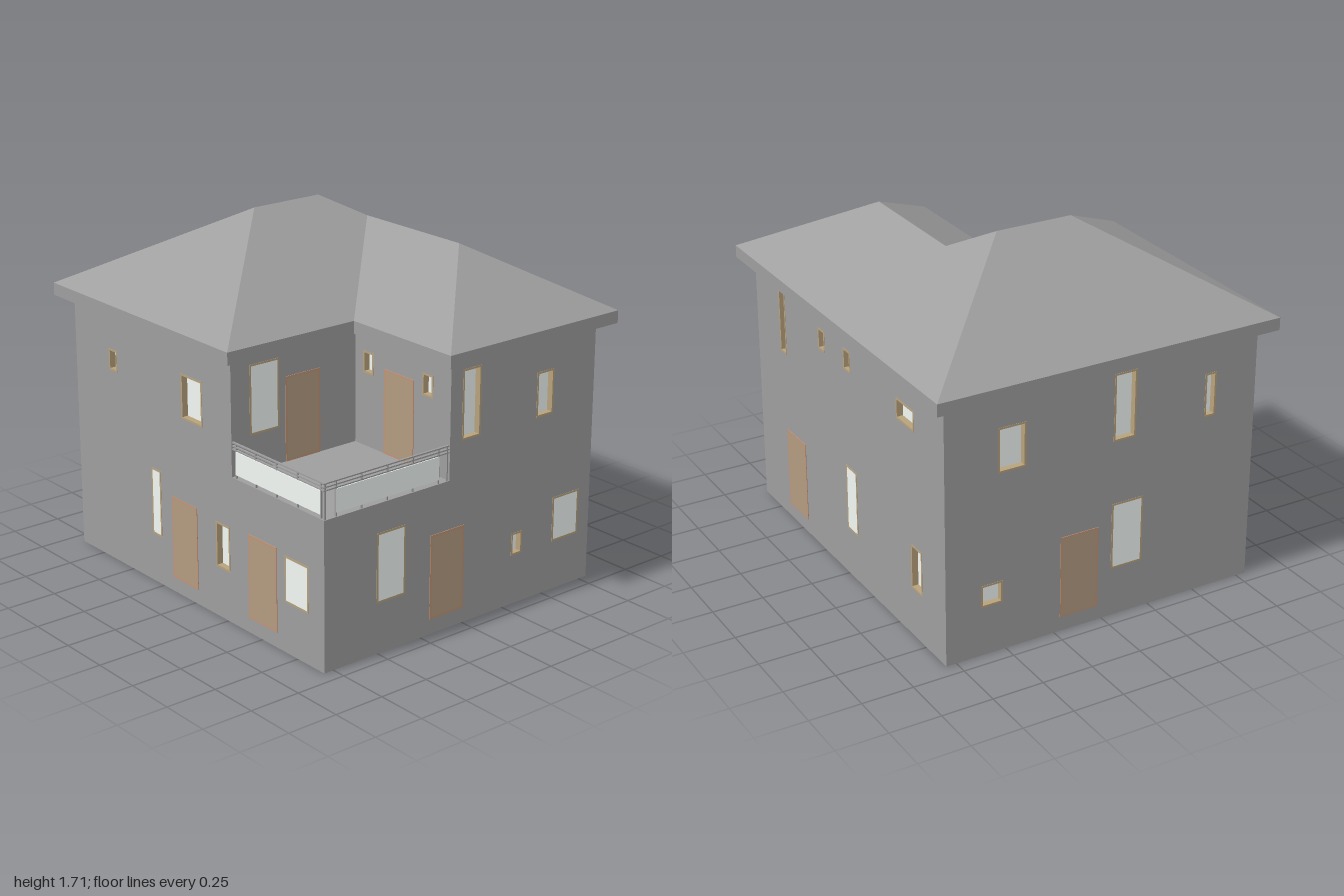
import * as THREE from 'three';

const mat = (color, extra = {}) => new THREE.MeshStandardMaterial({ color, ...extra });
const GREY = mat(0x9e9e9e, { flatShading: true });
const GLASS = mat(0xf2f8f5);
const WOOD = mat(0xb39c81);
const DOOR_TRIM = mat(0xc09478);
const WINDOW_TRIM = mat(0xb8a27c);

const T = 0.03;                       // wall thickness
const X = 0.93, Z = 0.8;              // outer half sizes
const FLOOR = 0.71, TOP = 1.26;       // balcony floor, wall top
const NX = 0.29, NZ = 0.09;           // balcony notch corner

function add(parent, name, geo, material) {
  const m = new THREE.Mesh(geo, material);
  m.name = name;
  parent.add(m);
  return m;
}

// Box given by its minimum and maximum corners
function block(parent, name, [x0, y0, z0], [x1, y1, z1], material = GREY) {
  const m = add(parent, name, new THREE.BoxGeometry(x1 - x0, y1 - y0, z1 - z0), material);
  m.position.set((x0 + x1) / 2, (y0 + y1) / 2, (z0 + z1) / 2);
}

const rect = (a, b, c, d) => [[a, c], [b, c], [b, d], [a, d]];
const toPoints = (list) => list.map(([x, y]) => new THREE.Vector2(x, y));
const extrude = (shape, depth) => new THREE.ExtrudeGeometry(shape, { depth, bevelEnabled: false });

// Rectangular border lying in the wall plane, from z0 to z1
function border(parent, name, [a, b, c, d], w, z0, z1, material) {
  const s = new THREE.Shape(toPoints(rect(a, b, c, d)));
  s.holes.push(new THREE.Path(toPoints(rect(a + w, b - w, c + w, d - w))));
  add(parent, name, extrude(s, z1 - z0), material).position.z = z0;
}

// Wall panel; u runs along a world axis, sign flips it to the wall's own right.
// Openings are [u0, u1, y0, y1, flush]; the outer face is local z = 0.
function wall(parent, name, { turn, pos, sign, outline, windows = [], doors = [] }) {
  const g = new THREE.Group();
  g.name = name;
  g.rotation.y = turn;
  g.position.set(...pos);
  parent.add(g);
  const local = ([a, b, c, d]) => [Math.min(a * sign, b * sign), Math.max(a * sign, b * sign), c, d];
  const shape = new THREE.Shape(toPoints(outline.map(([u, y]) => [u * sign, y])));
  for (const w of windows) {
    const r = local(w), [a, b, c, d] = r, flush = w[4];
    if (!flush) shape.holes.push(new THREE.Path(toPoints(rect(...r))));
    const back = flush ? 0 : -T;
    border(g, 'windowFrame', r, 0.009, back, 0.0015, WINDOW_TRIM);
    block(g, 'windowGlass', [a + 0.009, c + 0.009, back], [b - 0.009, d - 0.009, back + 0.0015], GLASS);
  }
  for (const door of doors) {
    const r = local(door), [a, b, c, d] = r;
    border(g, 'doorFrame', r, 0.01, 0, 0.003, DOOR_TRIM);
    block(g, 'door', [a + 0.01, c + 0.01, 0], [b - 0.01, d - 0.01, 0.003], WOOD);
  }
  add(g, 'wallPanel', extrude(shape, T), GREY).position.z = -T;
}

function buildWalls(house) {
  const zi = Z - T, H = Math.PI / 2;
  // Solid core behind the panels
  block(house, 'groundCore', [-X + T, 0, -zi], [X - T, FLOOR, zi]);
  block(house, 'upperCoreMain', [-X + T, FLOOR, -zi], [NX - T, TOP, zi]);
  block(house, 'upperCoreSide', [NX - T, FLOOR, -zi], [X - T, TOP, NZ - T]);

  wall(house, 'frontWall', {
    turn: 0, pos: [0, 0, Z], sign: 1,
    outline: [[-X, 0], [X, 0], [X, FLOOR], [NX, FLOOR], [NX, TOP], [-X, TOP]],
    windows: [[-0.652, -0.588, 0.965, 1.07], [-0.08, 0.077, 0.882, 1.097], [-0.33, -0.257, 0.242, 0.572, true],
      [0.165, 0.268, 0.243, 0.463], [0.662, 0.825, 0.243, 0.463, true]],
    doors: [[-0.17, 0.023, 0.073, 0.478], [0.406, 0.606, 0.073, 0.478]],
  });
  wall(house, 'rightHandWall', {
    turn: H, pos: [X, 0, 0], sign: -1,
    outline: [[-zi, 0], [zi, 0], [zi, FLOOR], [NZ, FLOOR], [NZ, TOP], [-zi, TOP]],
    windows: [[0.343, 0.507, 0.242, 0.572, true], [-0.367, -0.3, 0.243, 0.352], [-0.727, -0.56, 0.243, 0.463, true],
      [-0.09, 0.02, 0.882, 1.21], [-0.54, -0.435, 0.882, 1.097]],
    doors: [[-0.003, 0.197, 0.073, 0.478]],
  });
  wall(house, 'backWall', {
    turn: Math.PI, pos: [0, 0, -Z], sign: -1, outline: rect(-X, X, 0, TOP),
    windows: [[0.61, 0.675, 0.882, 1.21], [0.19, 0.255, 1.06, 1.165], [-0.067, 0, 1.06, 1.165],
      [-0.667, -0.505, 1.03, 1.13], [-0.1, 0.005, 0.242, 0.572, true], [-0.72, -0.62, 0.243, 0.463]],
    doors: [[0.44, 0.64, 0.073, 0.478]],
  });
  wall(house, 'leftHandWall', {
    turn: -H, pos: [-X, 0, 0], sign: 1, outline: rect(-zi, zi, 0, TOP),
    windows: [[-0.54, -0.4, 0.882, 1.097], [0.045, 0.16, 0.882, 1.21], [0.525, 0.585, 0.882, 1.097],
      [-0.625, -0.515, 0.243, 0.352], [0.045, 0.21, 0.242, 0.572, true]],
    doors: [[-0.22, -0.025, 0.073, 0.478]],
  });
  // Two walls facing the balcony
  wall(house, 'balconyBackWall', {
    turn: 0, pos: [0, 0, NZ], sign: 1, outline: rect(NX - T, X - T, FLOOR, TOP),
    windows: [[0.345, 0.415, 1.06, 1.165], [0.745, 0.815, 1.06, 1.165]],
    doors: [[0.49, 0.69, FLOOR, 1.113]],
  });
  wall(house, 'balconySideWall', {
    turn: H, pos: [NX, 0, 0], sign: -1, outline: rect(NZ, zi, FLOOR, TOP),
    windows: [[0.533, 0.697, 0.882, 1.21, true]],
    doors: [[0.3, 0.497, FLOOR, 1.113]],
  });
}

// Railing along local x from 0 to length, outer side +z
function railing(parent, name, length, glassStart, glassEnd, posts) {
  const g = new THREE.Group();
  g.name = name;
  for (const y of [0.842, 0.857, 0.873])
    block(g, 'rail', [0, y - 0.003, -0.005], [length, y + 0.003, 0.005]);
  for (const x of posts)
    block(g, 'post', [x - 0.003, FLOOR, -0.004], [x + 0.003, 0.873, 0.004]);
  block(g, 'glassPanel', [glassStart, 0.728, -0.002], [glassEnd, 0.837, 0.006], GLASS);
  parent.add(g);
  return g;
}

function buildRoof(house) {
  // L-shaped eaves, extruded upwards
  const D = 0.867;
  const plan = [[-1, D], [0.36, D], [0.36, 0.16], [1, 0.16], [1, -D], [-1, -D]];
  const eaves = extrude(new THREE.Shape(toPoints(plan.map(([x, z]) => [x, -z]))), 0.06);
  eaves.rotateX(-Math.PI / 2);
  add(house, 'eaves', eaves, GREY).position.y = TOP;

  // Hip and valley slopes
  const e = TOP + 0.06;
  const v = {
    A: [-1, e, -D], B: [1, e, -D], C: [1, e, 0.16], D: [0.36, e, 0.16], E: [0.36, e, D], F: [-1, e, D],
    P: [-0.32, 1.71, 0.19], Q: [-0.32, 1.71, -0.19], R: [-0.155, 1.615, -0.355], S: [0.485, 1.615, -0.355],
  };
  const faces = ['FPA', 'PQA', 'ABS', 'ASR', 'ARQ', 'BCS', 'CDR', 'CRS', 'DEP', 'DPQ', 'DQR', 'EFP'];
  const pos = [];
  for (const f of faces) {
    const [a, b, c] = [...f].map((k) => new THREE.Vector3(...v[k]));
    const up = b.clone().sub(a).cross(c.clone().sub(a)).y > 0;
    for (const p of up ? [a, b, c] : [a, c, b]) pos.push(p.x, p.y, p.z);
  }
  const geo = new THREE.BufferGeometry();
  geo.setAttribute('position', new THREE.Float32BufferAttribute(pos, 3));
  geo.computeVertexNormals();
  add(house, 'roofSlopes', geo, GREY);
}

export function createModel() {
  const house = new THREE.Group();
  house.name = 'house';
  buildWalls(house);
  buildRoof(house);

  // Balcony railings: front edge, then the side edge
  const front = railing(house, 'balconyFrontRailing', X - NX, 0.025, 0.61, [0.025, 0.165, 0.31, 0.455, 0.61, 0.634]);
  front.position.set(NX, 0, Z - 0.008);
  const side = railing(house, 'balconySideRailing', Z - NZ, 0.07, 0.65, [0.008, 0.07, 0.21, 0.355, 0.5, 0.65, 0.7]);
  side.rotation.y = Math.PI / 2;
  side.position.set(X - 0.008, 0, Z);
  return house;
}
